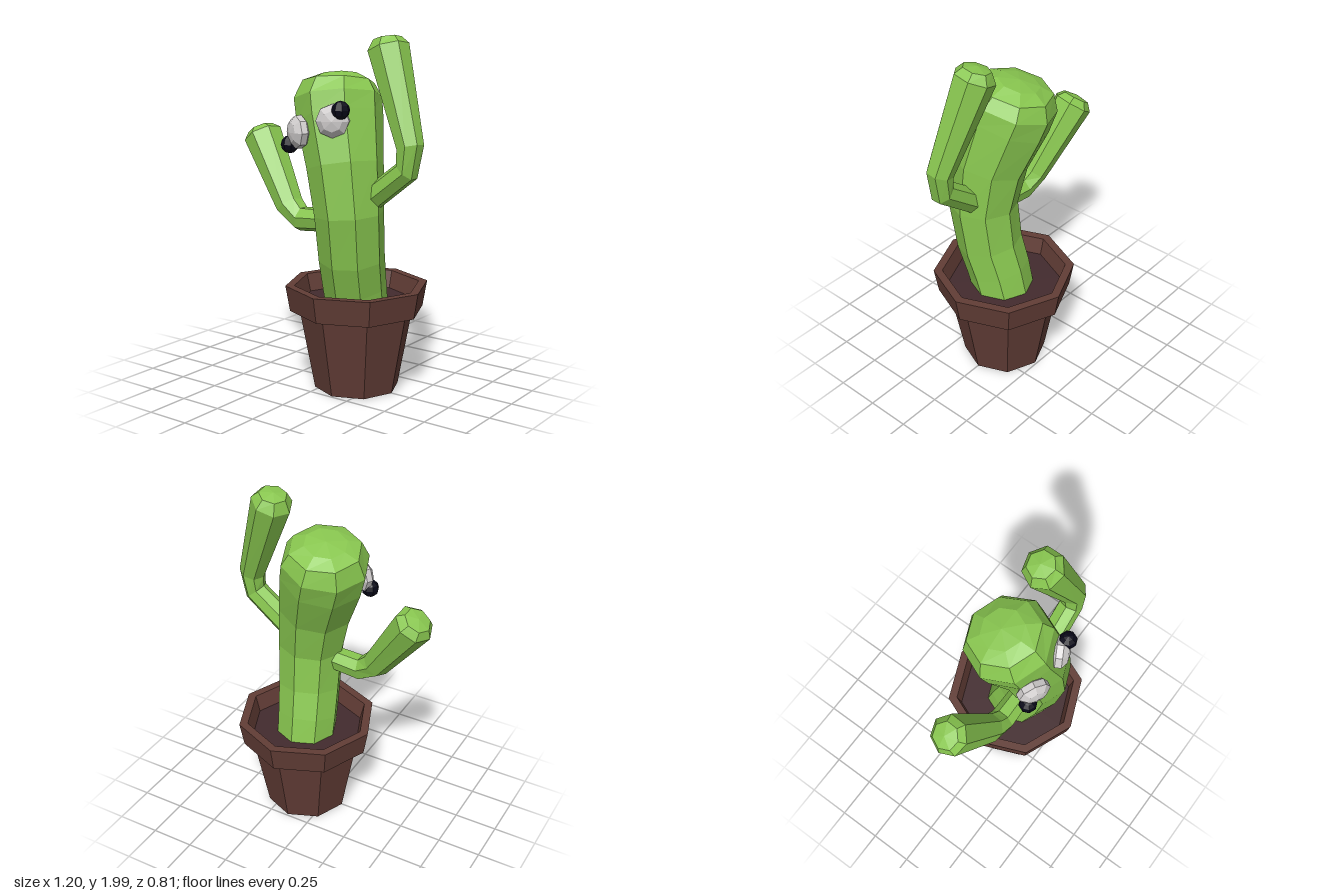
import * as THREE from 'three';

const mat = (name, color, side = THREE.FrontSide) => {
  const m = new THREE.MeshStandardMaterial({ color, flatShading: true, side });
  m.name = name;
  return m;
};

// Faceted tube through rings of [x, y, z, radius]; the last ring closes to a point.
function loft(rings, sides) {
  const centres = rings.map(([x, y, z]) => new THREE.Vector3(x, y, z));
  const points = rings.map((ring, i) => {
    const t = centres[Math.min(i + 1, rings.length - 1)].clone()
      .sub(centres[Math.max(i - 1, 0)]).normalize();
    const v = new THREE.Vector3(0, 0, 1).addScaledVector(t, -t.z).normalize();
    const u = v.clone().cross(t);
    return Array.from({ length: sides }, (_, j) => {
      const a = (j / sides) * Math.PI * 2;
      return centres[i].clone()
        .addScaledVector(u, Math.cos(a) * ring[3])
        .addScaledVector(v, Math.sin(a) * ring[3]);
    });
  });
  const tris = [];
  for (let i = 0; i < rings.length - 1; i++) {
    for (let j = 0; j < sides; j++) {
      const k = (j + 1) % sides;
      const a = points[i][j], b = points[i][k], c = points[i + 1][k], d = points[i + 1][j];
      tris.push(a, b, c);
      if (rings[i + 1][3] > 0) tris.push(a, c, d);
    }
  }
  const g = new THREE.BufferGeometry().setFromPoints(tris);
  g.computeVertexNormals();
  return g;
}

export function createModel() {
  const group = new THREE.Group();
  const green = mat('cactus green', 0x88c64f);
  const brown = mat('pot brown', 0x623d36);
  const earth = mat('soil', 0x432b2e);
  const white = mat('eye white', 0xcfcccc);
  const black = mat('pupil black', 0x080818);

  const add = (name, geometry, material, parent = group) => {
    const mesh = new THREE.Mesh(geometry, material);
    mesh.name = name;
    parent.add(mesh);
    return mesh;
  };

  // Octagonal pot with a stepped, hollow rim
  const profile = [[0, 0], [0.24, 0], [0.325, 0.455], [0.38, 0.455], [0.405, 0.6], [0.355, 0.6], [0.325, 0.48]]
    .map(([x, y]) => new THREE.Vector2(x, y));
  add('pot', new THREE.LatheGeometry(profile, 8), brown).position.x = 0.14;
  const soil = add('soil', new THREE.CircleGeometry(0.33, 8).rotateX(-Math.PI / 2), earth);
  soil.position.set(0.14, 0.5, 0);

  // Bent body that widens into a head
  add('body', loft([
    [0.145, 0.46, 0.0, 0.175],
    [0.15, 0.6, 0.035, 0.18],
    [0.165, 0.77, 0.085, 0.185],
    [0.172, 1.02, 0.12, 0.193],
    [0.132, 1.28, 0.103, 0.213],
    [0.055, 1.53, 0.045, 0.24],
    [0.025, 1.64, 0.022, 0.245],
    [0.015, 1.725, 0.004, 0.2],
    [0.01, 1.758, -0.003, 0.12],
    [0.006, 1.772, -0.006, 0],
  ], 8), green);

  // Arms: root, elbow, swollen tip
  add('leftArm', loft([
    [0.28, 1.1, 0.09, 0.07],
    [0.52, 1.285, 0.09, 0.068],
    [0.535, 1.41, 0.085, 0.075],
    [0.34, 1.915, 0.005, 0.115],
    [0.328, 1.965, -0.002, 0.078],
    [0.324, 1.978, -0.004, 0],
  ], 7), green);
  add('rightArm', loft([
    [0.06, 0.97, 0.12, 0.066],
    [-0.155, 0.955, 0.12, 0.072],
    [-0.25, 1.02, 0.11, 0.08],
    [-0.505, 1.395, 0.035, 0.113],
    [-0.526, 1.428, 0.03, 0.078],
    [-0.533, 1.439, 0.028, 0],
  ], 7), green);

  // Flattened eyes turned outward, each with a small round pupil
  const eyes = [
    ['leftEye', [0.16, 1.54, 0.255], 0.5, [0.217, 1.6, 0.262]],
    ['rightEye', [-0.07, 1.465, 0.255], -0.5, [-0.125, 1.395, 0.262]],
  ];
  for (const [name, place, turn, pupilPlace] of eyes) {
    const eye = add(name, new THREE.SphereGeometry(0.095, 8, 5).rotateX(Math.PI / 2), white);
    eye.position.set(...place);
    eye.rotation.y = turn;
    eye.scale.z = 0.6;
    add(name + 'Pupil', new THREE.SphereGeometry(0.05, 8, 6), black).position.set(...pupilPlace);
  }
  return group;
}
